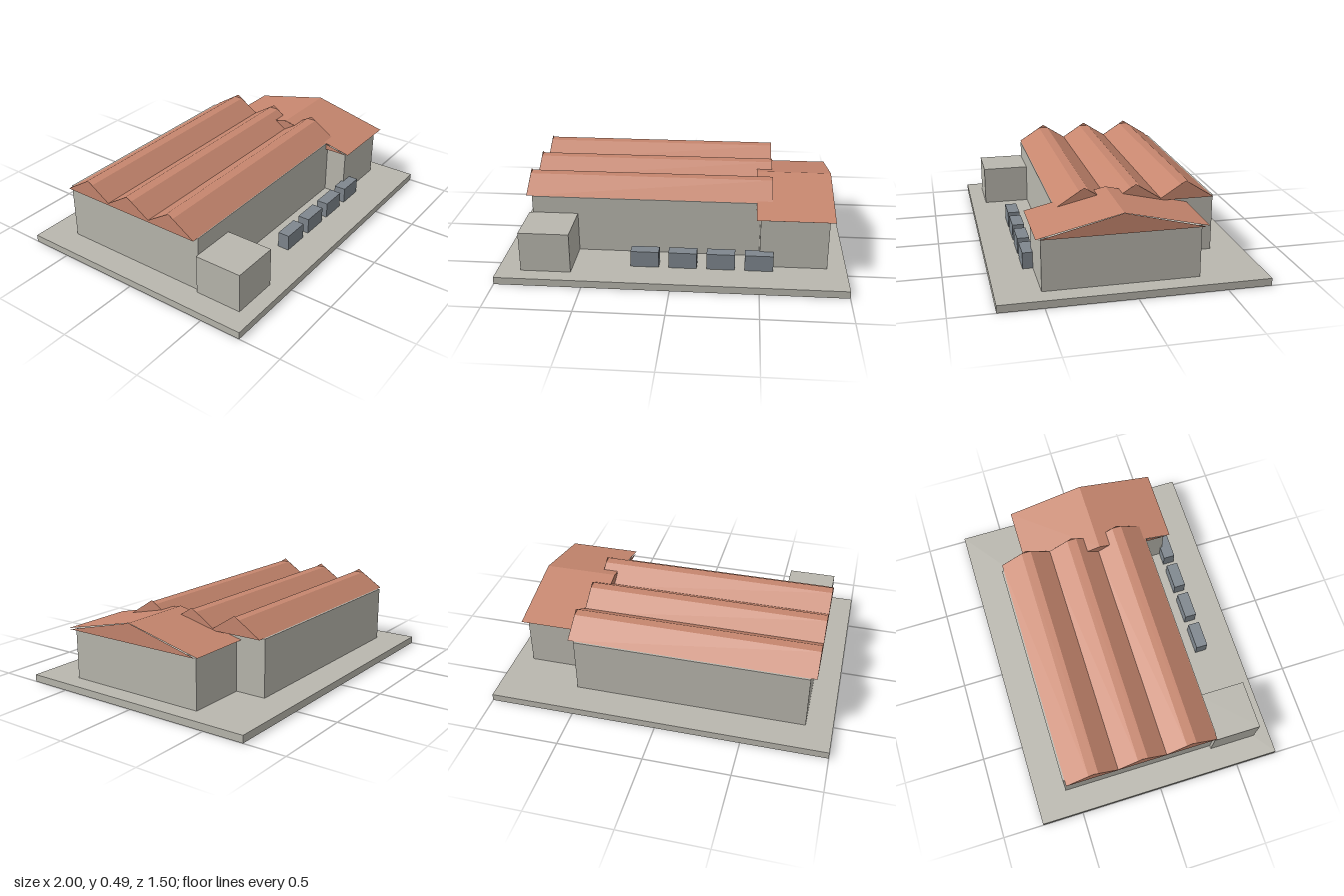
import * as THREE from 'three';

const stone = new THREE.MeshStandardMaterial({ color: 0xb9b7ae });
stone.name = 'stone grey';
const tile = new THREE.MeshStandardMaterial({ color: 0xc6866e, side: THREE.DoubleSide });
tile.name = 'terracotta';
const slate = new THREE.MeshStandardMaterial({ color: 0x7f878e });
slate.name = 'slate blue';

// Box given by its limits on each axis
function block(name, material, [x0, x1], [y0, y1], [z0, z1]) {
  const mesh = new THREE.Mesh(new THREE.BoxGeometry(x1 - x0, y1 - y0, z1 - z0), material);
  mesh.position.set((x0 + x1) / 2, (y0 + y1) / 2, (z0 + z1) / 2);
  mesh.name = name;
  return mesh;
}

// Open sheet: a (z, y) profile swept along x, with flat facets
function sheet(name, profile, x0, x1) {
  const p = [];
  for (let i = 0; i < profile.length - 1; i++) {
    const [za, ya] = profile[i], [zb, yb] = profile[i + 1];
    p.push(x0, ya, za, x0, yb, zb, x1, yb, zb, x0, ya, za, x1, yb, zb, x1, ya, za);
  }
  const g = new THREE.BufferGeometry();
  g.setAttribute('position', new THREE.Float32BufferAttribute(p, 3));
  g.computeVertexNormals();
  const mesh = new THREE.Mesh(g, tile);
  mesh.name = name;
  return mesh;
}

// Triangular end wall of a roof, facing along x
function gable(name, x, z, half, eave, peak, facing) {
  const g = new THREE.BufferGeometry();
  const s = half * facing;
  g.setAttribute('position', new THREE.Float32BufferAttribute(
    [x, eave, z + s, x, eave, z - s, x, peak, z], 3));
  g.computeVertexNormals();
  const mesh = new THREE.Mesh(g, tile);
  mesh.name = name;
  return mesh;
}

export function createModel() {
  const model = new THREE.Group();
  model.name = 'building';
  const ground = 0.043;

  // Base slab and building volumes
  model.add(
    block('baseSlab', stone, [-1, 1], [0, ground], [-0.75, 0.75]),
    block('mainHall', stone, [-0.845, 0.53], [ground, 0.382], [-0.563, 0.37]),
    block('sideWing', stone, [0.5, 0.89], [ground, 0.345], [-0.375, 0.5]),
    block('frontAnnex', stone, [-0.865, -0.575], [ground, 0.28], [0.37, 0.655])
  );

  // Three parallel hall roofs with flattened ridges and pointed gables
  for (let i = 0; i < 3; i++) {
    const z = -0.387 + i * 0.294;
    const roof = new THREE.Group();
    roof.name = 'hallRoof' + (i + 1);
    roof.add(
      sheet('roofSheet', [[z + 0.165, 0.383], [z + 0.029, 0.47], [z - 0.029, 0.47], [z - 0.165, 0.383]], -0.88, 0.568),
      gable('leftGable', 0.568, z, 0.166, 0.383, 0.49, 1),
      gable('rightGable', -0.88, z, 0.166, 0.383, 0.49, -1)
    );
    model.add(roof);
  }

  // Wide gabled roof across the side wing
  const wing = new THREE.Group();
  wing.name = 'wingRoof';
  wing.add(
    sheet('roofSheet', [[0.53, 0.349], [0.062, 0.458], [-0.407, 0.349]], 0.475, 0.92),
    gable('leftGable', 0.919, 0.062, 0.455, 0.344, 0.457, 1),
    gable('rightGable', 0.476, 0.062, 0.455, 0.344, 0.457, -1)
  );
  model.add(wing);

  // Row of low units along the front
  for (let i = 0; i < 4; i++) {
    const x = -0.241 + i * 0.219;
    model.add(block('frontUnit' + (i + 1), slate, [x, x + 0.163], [ground, 0.139], [0.487, 0.558]));
  }
  return model;
}
